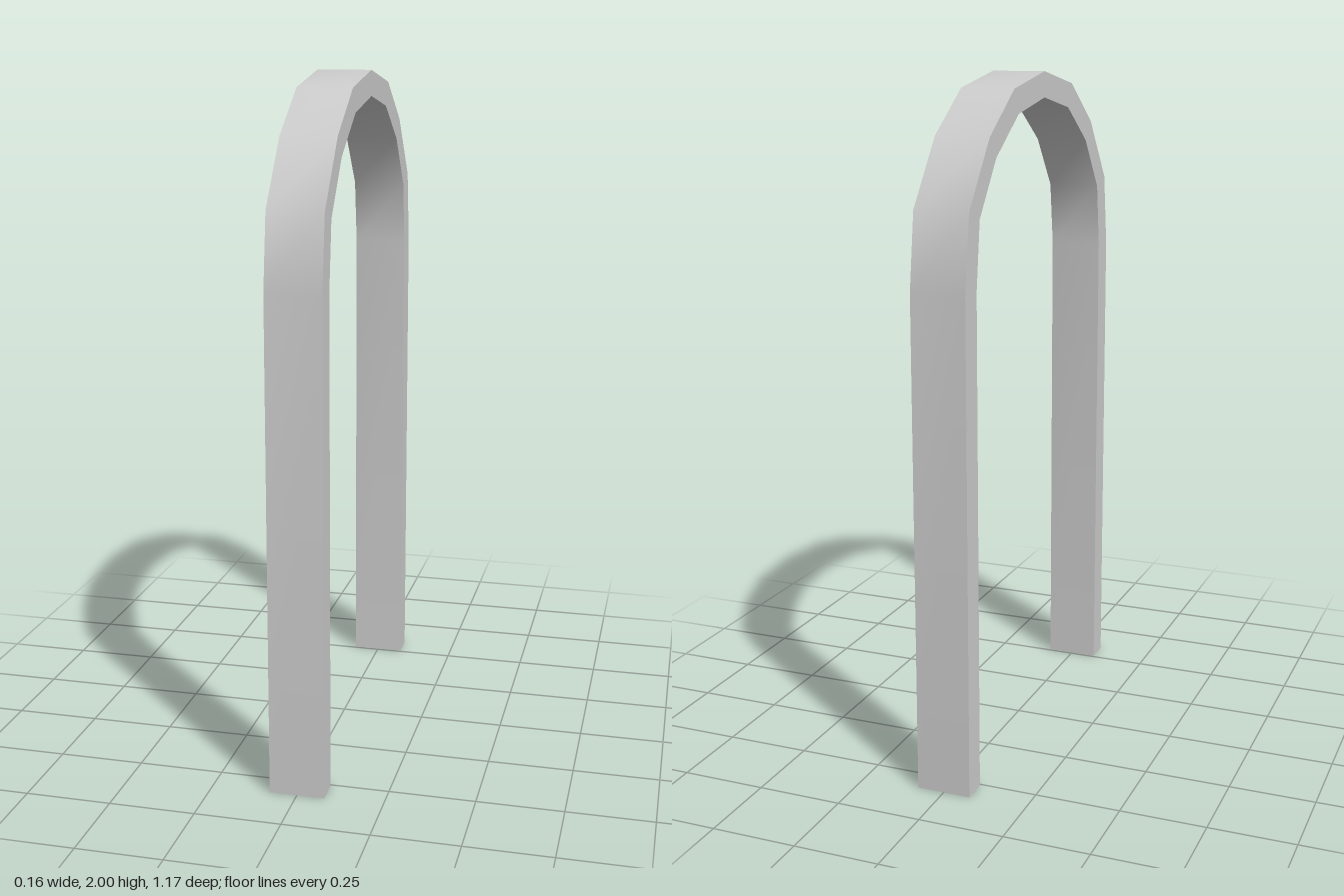
import * as THREE from 'three';
import { toCreasedNormals } from 'three/addons/utils/BufferGeometryUtils.js';

const WIDTH = 0.16;

// Half profiles of the arch, from foot to crown, as [z, y]
const OUTER = [[0.583, 0], [0.583, 1.437], [0.554, 1.654], [0.411, 1.839], [0.233, 1.959], [0, 2]];
const INNER = [[0.507, 0], [0.507, 1.437], [0.483, 1.628], [0.366, 1.781], [0.202, 1.889], [0, 1.926]];

// Mirror a half profile into a full one running from the +z foot to the -z foot
function mirrored(half) {
  const other = half.slice(0, -1).reverse().map(([z, y]) => [-z, y]);
  return [...half, ...other].map(([z, y]) => new THREE.Vector2(z, y));
}

export function createModel() {
  const group = new THREE.Group();
  group.name = 'archGroup';

  // Flat band bent into a round-topped arch with two straight legs
  const shape = new THREE.Shape([...mirrored(OUTER), ...mirrored(INNER).reverse()]);
  const band = new THREE.ExtrudeGeometry(shape, { depth: WIDTH, bevelEnabled: false });
  band.translate(0, 0, -WIDTH / 2);
  band.rotateY(-Math.PI / 2);

  // Smooth around the bend, sharp along the rims and at the feet
  const arch = new THREE.Mesh(
    toCreasedNormals(band, 0.75),
    new THREE.MeshStandardMaterial({ color: 0xcccccc })
  );
  arch.name = 'arch';
  group.add(arch);
  return group;
}
